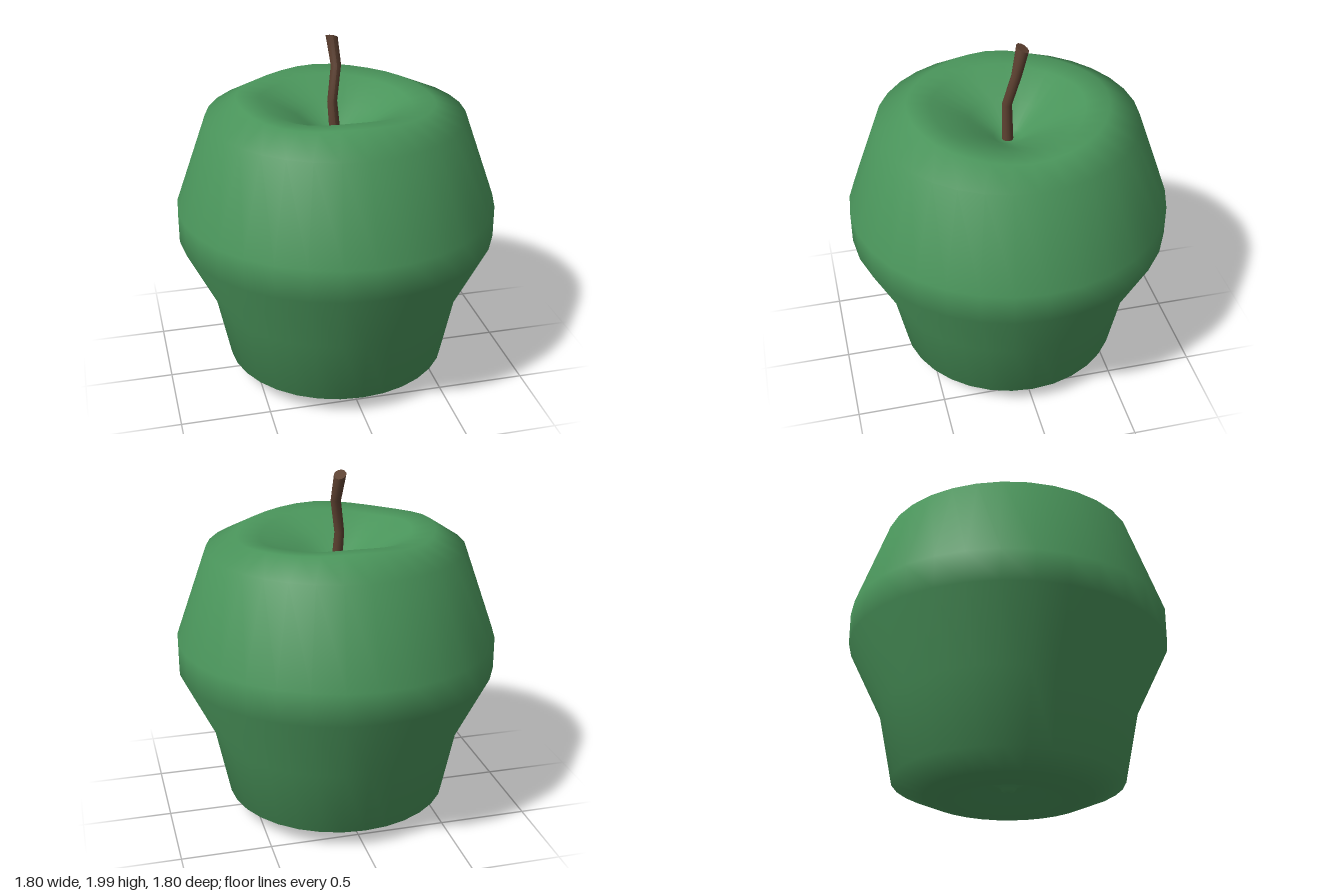
import * as THREE from 'three';
import { mergeVertices } from 'three/addons/utils/BufferGeometryUtils.js';

const GREEN = 0x4a955b, BROWN = 0x5c4030;

// Turned body, with the top rim made slightly uneven
function fruitBody() {
  const profile = [
    [0, 0.06], [0.035, 0.07], [0.055, 0.1], [0.09, 0.11], [0.2, 0.05], [0.33, 0.005],
    [0.46, 0.035], [0.635, 0.11], [0.715, 0.5], [0.9, 0.88], [0.9, 1.06],
    [0.72, 1.57], [0.55, 1.655], [0.42, 1.64], [0.22, 1.54], [0.08, 1.45], [0, 1.42],
  ].map(([r, y]) => new THREE.Vector2(r, y));

  let geo = new THREE.LatheGeometry(profile, 32);
  const pos = geo.attributes.position;
  for (let i = 0; i < pos.count; i++) {
    const x = pos.getX(i), y = pos.getY(i), z = pos.getZ(i);
    const r = Math.hypot(x, z);
    if (y < 1.45 || r > 0.65 || r < 0.1) continue;
    const c = x / r, s = z / r;
    const lump = 0.022 * s ** 8 + (c < 0 ? 0.025 : -0.025) * c ** 8;
    pos.setY(i, y + lump);
  }
  // Weld the seam so the shading runs round smoothly
  geo.deleteAttribute('uv');
  geo.deleteAttribute('normal');
  geo = mergeVertices(geo, 1e-4);
  geo.computeVertexNormals();
  return geo;
}

// Capped tube whose rings follow a bent line and widen at a slanted tip
function stemShape() {
  const rings = [ // x, y, z, radius
    [0, 1.4, 0, 0.032],
    [-0.02, 1.64, 0, 0.028],
    [0.012, 1.83, -0.045, 0.029],
    [-0.003, 1.98, -0.08, 0.034],
  ];
  const geo = new THREE.CylinderGeometry(1, 1, 3, 12, 3);
  const pos = geo.attributes.position;
  for (let i = 0; i < pos.count; i++) {
    const k = Math.round(pos.getY(i) + 1.5);
    const [x, y, z, r] = rings[k];
    const dx = pos.getX(i) * r, dz = pos.getZ(i) * r;
    const tilt = k === 3 ? 0.5 * dz - 0.25 * dx : 0;
    pos.setXYZ(i, x + dx, y + tilt, z + dz);
  }
  geo.computeVertexNormals();
  return geo;
}

export function createModel() {
  const group = new THREE.Group();
  group.name = 'apple';
  const add = (name, geometry, color) => {
    const mesh = new THREE.Mesh(geometry, new THREE.MeshStandardMaterial({ color }));
    mesh.name = name;
    group.add(mesh);
  };
  add('fruitBody', fruitBody(), GREEN);
  add('stem', stemShape(), BROWN);
  return group;
}
